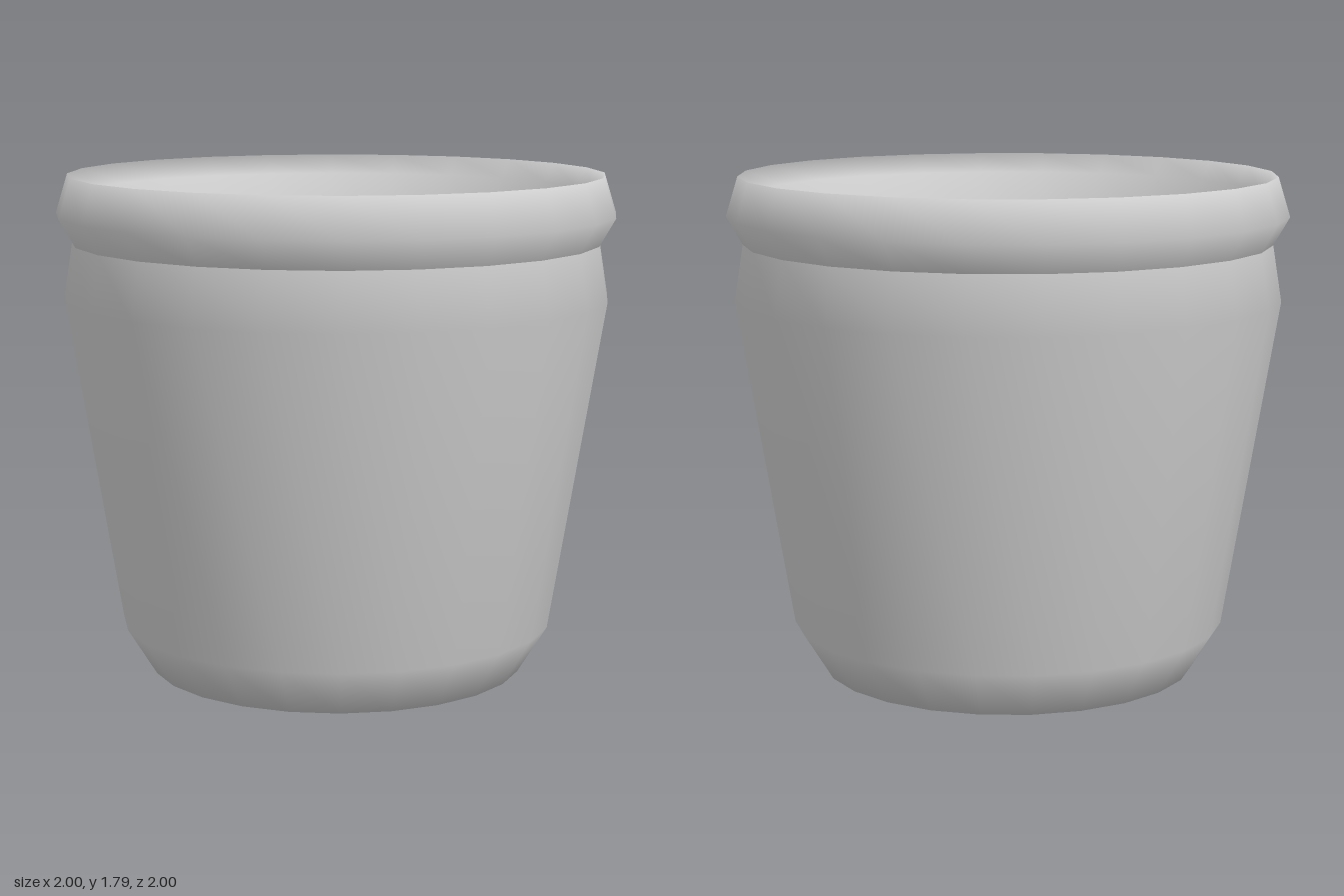
import * as THREE from 'three';

export function createModel() {
  const group = new THREE.Group();
  const clay = new THREE.MeshStandardMaterial({ color: 0xcccccc, side: THREE.DoubleSide });
  clay.name = 'pale grey';

  // Turns a [radius, height] profile into a smooth round part
  const turn = (name, profile, sides) => {
    const points = profile.map(([r, y]) => new THREE.Vector2(r, y));
    const mesh = new THREE.Mesh(new THREE.LatheGeometry(points, sides), clay);
    mesh.name = name;
    group.add(mesh);
  };

  // Tapered wall with a closed base, up to the neck
  turn('potBody', [[0, 0], [0.675, 0], [0.78, 0.17], [0.975, 1.35], [0.943, 1.55]], 24);

  // Flared rim, folding inwards down to the soil
  turn('rim', [[0.943, 1.55], [1, 1.65], [0.957, 1.79], [0.915, 1.72], [0.82, 1.58], [0.81, 1.5]], 24);

  // Soil plug with softened edge normals
  turn('soil', [[0.81, 1.48], [0.81, 1.58], [0, 1.58]], 16);

  return group;
}
